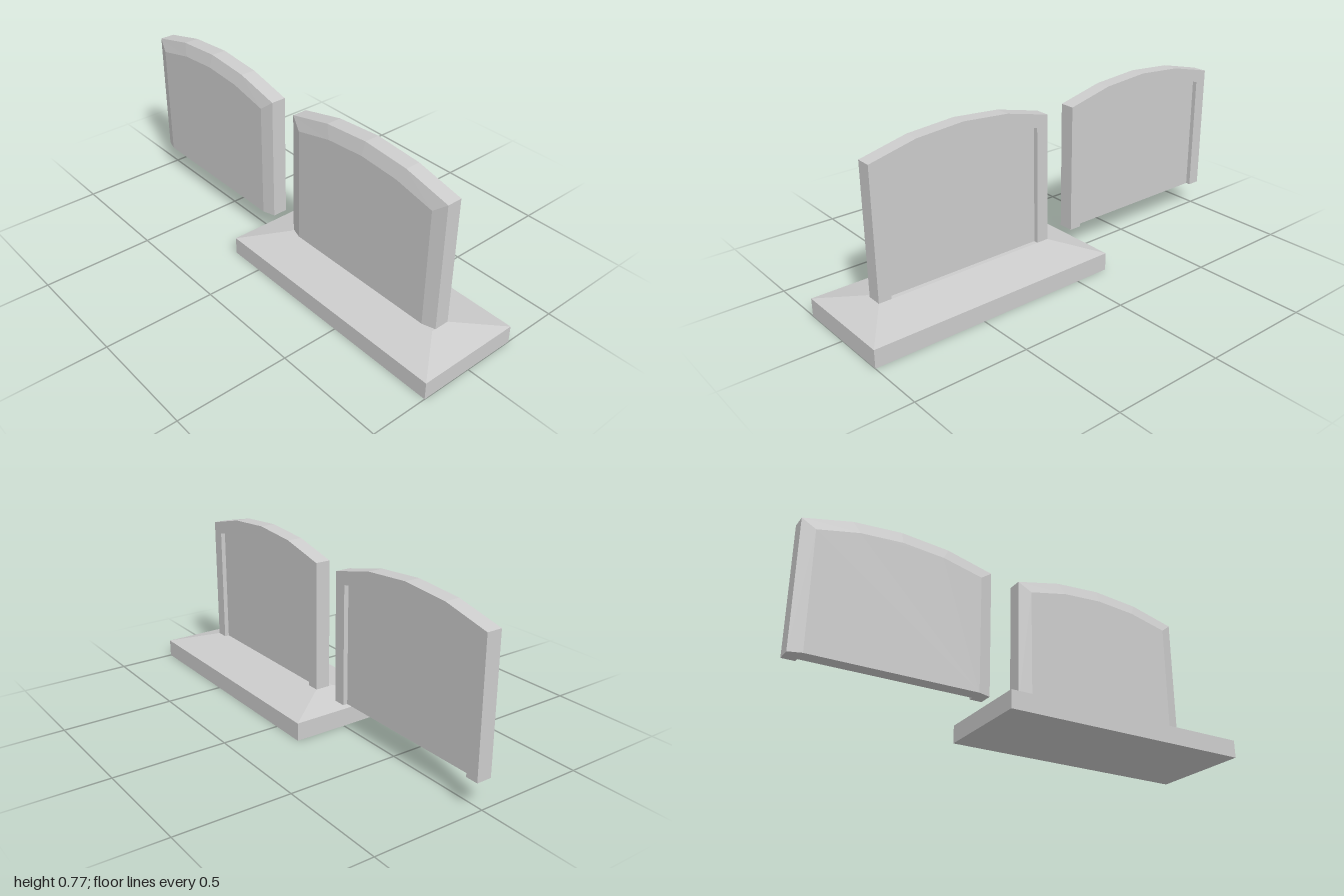
import * as THREE from 'three';

const material = new THREE.MeshStandardMaterial({ color: 0xcccccc, flatShading: true });
const BOTTOM = 0.122;

function addMesh(parent, name, geometry) {
  const mesh = new THREE.Mesh(geometry, material);
  mesh.name = name;
  parent.add(mesh);
  return mesh;
}

// Arched outline as [z, y] points, from the +z foot over the top to the -z foot
function archOutline(half, shoulder, peak) {
  const rise = peak - shoulder;
  const radius = (half * half + rise * rise) / (2 * rise);
  const spread = Math.asin(half / radius);
  const points = [[half, BOTTOM]];
  for (let i = 0; i <= 4; i++) {
    const a = spread * (1 - i / 2);
    points.push([radius * Math.sin(a), peak - radius + radius * Math.cos(a)]);
  }
  points.push([-half, BOTTOM]);
  return points;
}

// Flat-shaded skin between successive loops of [x, y, z] points
function skin(loops, closed) {
  const pos = [];
  const count = loops[0].length;
  for (let i = 0; i < loops.length - 1; i++) {
    for (let j = 0; j < (closed ? count : count - 1); j++) {
      const k = (j + 1) % count;
      const a = loops[i][j], b = loops[i + 1][j], c = loops[i + 1][k], d = loops[i][k];
      pos.push(...a, ...b, ...c, ...a, ...c, ...d);
    }
  }
  const geometry = new THREE.BufferGeometry();
  geometry.setAttribute('position', new THREE.Float32BufferAttribute(pos, 3));
  geometry.computeVertexNormals();
  return geometry;
}

function flatShape(points) {
  return new THREE.ShapeGeometry(new THREE.Shape(points.map(([x, y]) => new THREE.Vector2(x, y))));
}

// Arched slab: chamfered back, raised frame and sunken panel on the +x face
function createSlab(z) {
  const slab = new THREE.Group();
  const outer = archOutline(0.428, 0.7, 0.768);
  const inner = archOutline(0.371, 0.655, 0.711);
  const sections = [
    [-0.053, inner], [-0.035, outer], [0.033, outer], [0.033, inner], [0.012, inner],
  ];
  const loops = sections.map(([x, outline]) => outline.map(([pz, py]) => [x, py, pz]));
  addMesh(slab, 'frame', skin(loops, false));
  addMesh(slab, 'backFace', flatShape(inner).rotateY(-Math.PI / 2).translate(-0.053, 0, 0));
  addMesh(slab, 'sunkenPanel', flatShape(inner).rotateY(Math.PI / 2).translate(0.012, 0, 0));

  // Underside follows the same cross-section
  const side = sections.map(([x, outline]) => [x, outline[0][0]]);
  const mirrored = side.map(([x, pz]) => [x, -pz]).reverse();
  addMesh(slab, 'underside', flatShape([...side, ...mirrored]).rotateX(Math.PI / 2).translate(0, BOTTOM, 0));
  slab.position.z = z;
  return slab;
}

// Rectangular plinth whose sloping top rises to the foot of the slab
function createBase() {
  const base = new THREE.Group();
  const rect = (x0, x1, z0, z1, y) => [[x0, y, z1], [x1, y, z1], [x1, y, z0], [x0, y, z0]];
  const foot = rect(-0.24, 0.24, -0.163, 1, 0);
  const rim = rect(-0.24, 0.24, -0.163, 1, 0.08);
  const top = rect(-0.053, 0.033, -0.005, 0.85, BOTTOM);
  const centre = (y, z) => Array.from({ length: 4 }, () => [-0.01, y, z]);
  const loops = [centre(0, 0.42), foot, rim, top, centre(BOTTOM, 0.42)];
  // Reverse each loop so the faces point outwards
  addMesh(base, 'plinth', skin(loops.map((loop) => loop.slice().reverse()), true));
  return base;
}

export function createModel() {
  const model = new THREE.Group();
  model.name = 'headstones';
  const base = createBase();
  base.name = 'base';
  const standing = createSlab(0.4225);
  standing.name = 'mountedHeadstone';
  const loose = createSlab(-0.572);
  loose.name = 'separateHeadstone';
  model.add(base, standing, loose);
  return model;
}
